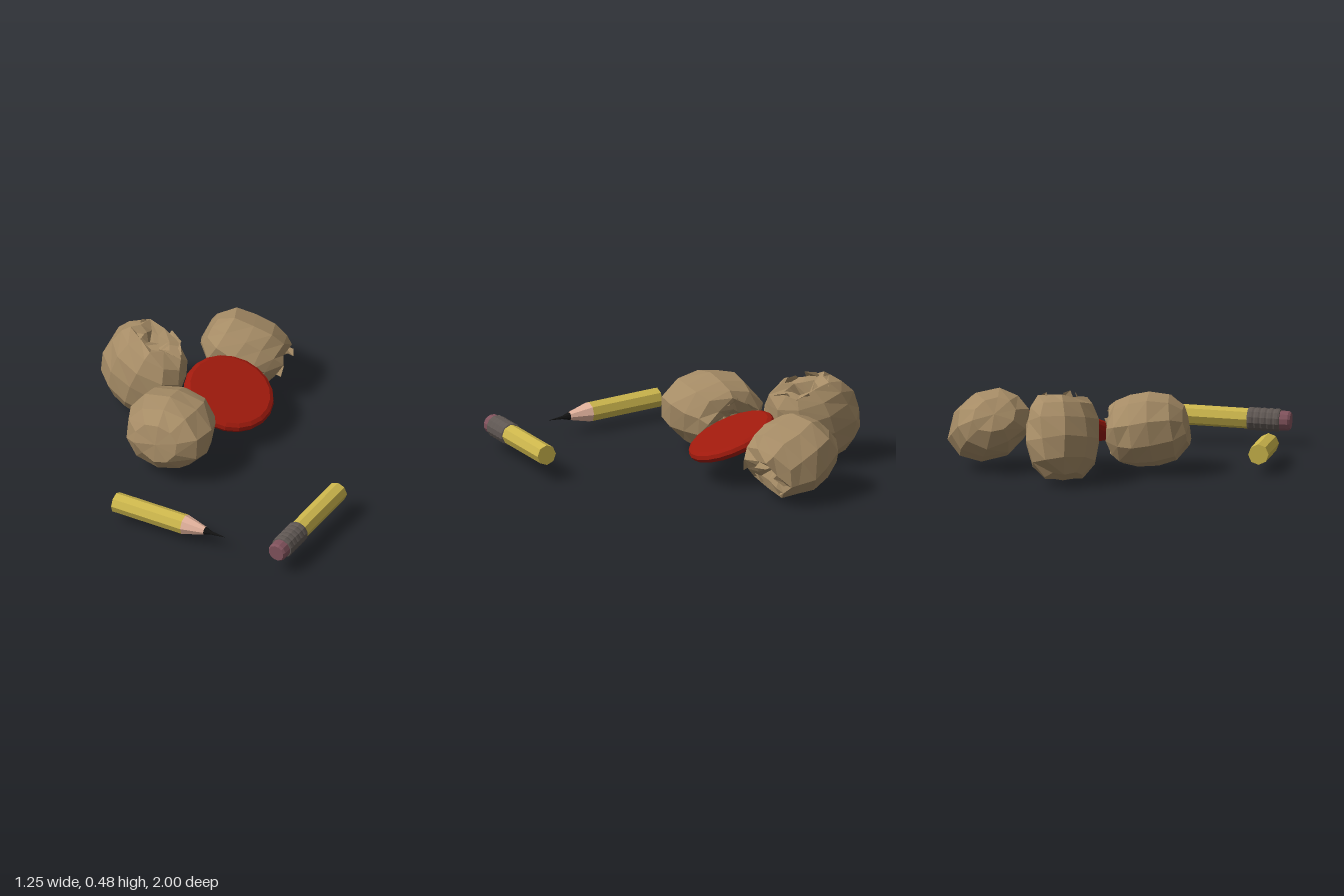
import * as THREE from 'three';
import { mergeGeometries } from 'three/addons/utils/BufferGeometryUtils.js';

const V = (x = 0, y = 0, z = 0) => new THREE.Vector3(x, y, z);

function seeded(seed) {
  let s = seed;
  return () => (s = (s * 16807) % 2147483647) / 2147483647;
}

function mat(color, side = THREE.FrontSide) {
  return new THREE.MeshStandardMaterial({ color, flatShading: true, side });
}

function part(name, geometry, material) {
  const mesh = new THREE.Mesh(geometry, material);
  mesh.name = name;
  return mesh;
}

// Surface through rings of points, bottom ring first
function loft(rings) {
  const n = rings[0].length, index = [];
  for (let i = 0; i < rings.length - 1; i++) {
    for (let j = 0; j < n; j++) {
      const a = i * n + j, b = i * n + (j + 1) % n;
      index.push(a, b, a + n, b, b + n, a + n);
    }
  }
  return new THREE.BufferGeometry().setFromPoints(rings.flat()).setIndex(index);
}

// Lumpy shell with a gathered, torn mouth along its axis; the shell fills the box.
// depth scales it along the axis, flat across the squash direction.
function lump(name, { seed, axis, squash, depth, flat, lift, lo, hi }) {
  const rnd = seeded(seed), n = 10;
  const profile = [[0, -1], [0.52, -0.94], [0.87, -0.62], [1, -0.12], [0.98, 0.36],
    [0.84, 0.73], [0.57, 0.95], [0.32, 0.88], [0.13, 0.6], [0, 0.5]];
  const rings = profile.map(([r, h], i) => Array.from({ length: n }, (_, j) => {
    const a = (j + (i > 5 ? 0.3 : 0.12) * rnd()) / n * Math.PI * 2;
    const fold = i > 5 ? (j % 2 ? 0.82 : 1.12) + 0.18 * rnd() : 0.95 + 0.1 * rnd();
    const rise = i === 0 || i === 9 ? 0 : (rnd() - 0.5) * (i > 5 ? 0.12 : 0.07);
    return V(Math.sin(a) * r * fold, h + rise, Math.cos(a) * r * fold);
  }));
  const shell = loft(rings);

  // Torn flaps standing around the mouth
  const pieces = [shell];
  for (let k = 0; k < 5; k++) {
    const a = (k + 0.5 * rnd()) / 5 * Math.PI * 2, w = 0.3 + 0.2 * rnd();
    const top = 0.95 + lift * (0.3 + 0.7 * rnd()), lean = 0.35 + 0.3 * rnd();
    const at = (r, t, h) => V(Math.sin(t) * r, h, Math.cos(t) * r);
    pieces.push(new THREE.BufferGeometry().setFromPoints([at(0.55, a - w, 0.8),
      at(0.55, a + w, 0.8), at(lean, a + w * 0.8, top), at(lean + 0.08, a - w * 0.6, top - 0.08)
    ]).setIndex([0, 1, 2, 0, 2, 3]));
  }

  // Turn the mouth to its axis, flattest across the squash direction
  const y = axis.normalize();
  const x = V().crossVectors(y, squash).normalize();
  const turn = new THREE.Matrix4().makeBasis(x, y, V().crossVectors(x, y)).scale(V(1, depth, flat));
  pieces.forEach(p => p.applyMatrix4(turn));

  shell.computeBoundingBox();
  const c = shell.boundingBox.getCenter(V());
  const s = hi.clone().sub(lo).divide(shell.boundingBox.getSize(V()));
  const m = lo.clone().add(hi).multiplyScalar(0.5);
  const g = mergeGeometries(pieces);
  g.translate(-c.x, -c.y, -c.z).scale(s.x, s.y, s.z).translate(m.x, m.y, m.z);
  g.computeVertexNormals();
  return part(name, g, mat(0xa68c66, THREE.DoubleSide));
}

// Turned solid along y from [radius, height] points
function turned(points, sides) {
  return new THREE.LatheGeometry(points.map(p => new THREE.Vector2(...p)), sides);
}

// Stand a group built along y between two points
function lay(group, from, to) {
  group.position.copy(from);
  group.quaternion.setFromUnitVectors(V(0, 1, 0), to.clone().sub(from).normalize());
  return group;
}

export function createModel() {
  const model = new THREE.Group();
  const yellow = mat(0xccb64c);

  // Three crumpled lumps
  model.add(
    lump('frontLump', {
      seed: 11, axis: V(0.6, -0.12, -0.75), squash: V(0, 1, 0), depth: 0.86, flat: 0.85, lift: 0.05,
      lo: V(-0.42, 0.03, -0.415), hi: V(0.062, 0.425, 0.1) }),
    lump('backLump', {
      seed: 57, axis: V(0.3, 0.94, 0.14), squash: V(-1, 0, 1), depth: 1, flat: 0.76, lift: 0.14,
      lo: V(-0.38, 0, -0.94), hi: V(0.02, 0.475, -0.45) }),
    lump('sideLump', {
      seed: 203, axis: V(0.75, -0.42, 0.42), squash: V(0.5, 0.7, -0.25), depth: 0.95, flat: 0.82, lift: 0.2,
      lo: V(0.15, 0.03, -1), hi: V(0.615, 0.435, -0.53) }));

  // Leaning red disc with a rounded rim
  const disc = part('disc', turned([[0, -0.032], [0.21, -0.032], [0.232, -0.022], [0.242, 0],
    [0.235, 0.02], [0.215, 0.032], [0, 0.032]], 20), mat(0xa01a0d));
  disc.position.set(0.19, 0.222, -0.375);
  disc.quaternion.setFromUnitVectors(V(0, 1, 0), V(0.15, 1, 0.38).normalize());
  model.add(disc);

  // Sharpened half of the pencil
  const sharp = new THREE.Group();
  sharp.name = 'sharpenedHalf';
  sharp.add(
    part('pencilBody', turned([[0, 0], [0.054, 0], [0.054, 0.41]], 8), yellow),
    part('bareWood', turned([[0.054, 0.41], [0.022, 0.53]], 8), mat(0xe2b29c)),
    part('lead', turned([[0.022, 0.53], [0.009, 0.57], [0, 0.655]], 8), mat(0x121212)));
  model.add(lay(sharp, V(-0.59, 0.105, 0.268), V(-0.117, 0.093, 0.715)));

  // Eraser half of the pencil
  const blunt = new THREE.Group();
  blunt.name = 'eraserHalf';
  const ferrule = [[0.05, 0.055]];
  for (let i = 0; i < 5; i++) {
    const h = 0.057 + i * 0.034;
    ferrule.push([0.058, h], [0.061, h + 0.009], [0.061, h + 0.023], [0.058, h + 0.032]);
  }
  ferrule.push([0.052, 0.228]);
  blunt.add(
    part('eraser', turned([[0, 0], [0.044, 0], [0.052, 0.012], [0.052, 0.06]], 12), mat(0x80525c)),
    part('ferrule', turned(ferrule, 12), mat(0x5f5753)),
    part('pencilBody', turned([[0.054, 0.22], [0.054, 0.63], [0, 0.63]], 8), yellow));
  model.add(lay(blunt, V(0.09, 0.124, 0.967), V(0.54, 0.146, 0.53)));

  return model;
}
